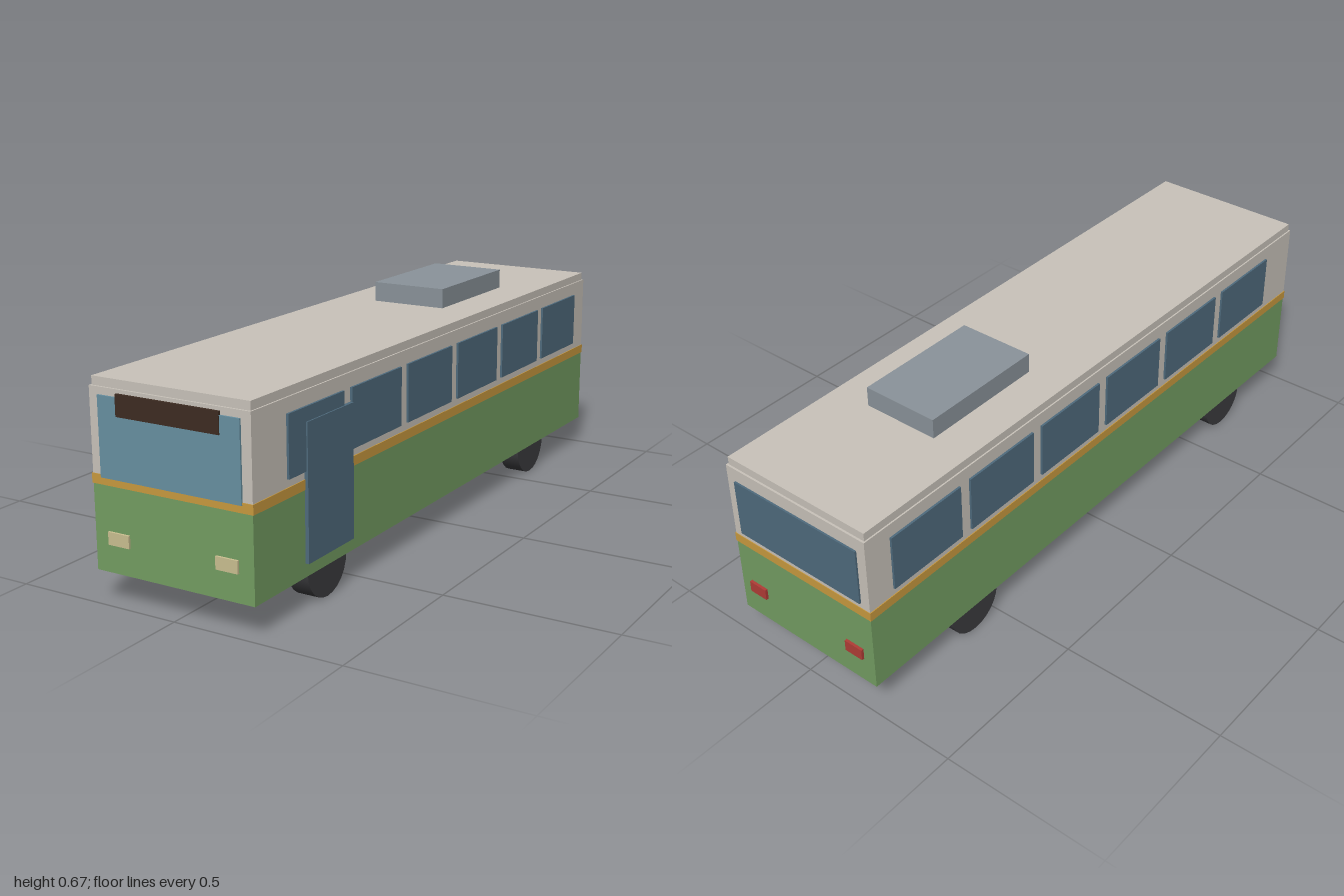
import * as THREE from 'three';

const mat = (name, color) => {
  const m = new THREE.MeshStandardMaterial({ color });
  m.name = name;
  return m;
};

export function createModel() {
  const green = mat('green paint', 0x739d62);
  const cream = mat('cream paint', 0xc9c3ba);
  const orange = mat('orange stripe', 0xc99a3f);
  const glass = mat('side glass', 0x4f6b7d);
  const screen = mat('windshield glass', 0x6890a1);
  const dark = mat('sign brown', 0x3d2c22);
  const lamp = mat('headlight cream', 0xcabf90);
  const red = mat('tail light red', 0xb03c36);
  const grey = mat('unit grey', 0x8a939a);
  const rubber = mat('tyre rubber', 0x3b3b3e);

  const bus = new THREE.Group();
  bus.name = 'bus';

  // Box given by its limits on each axis
  const box = (name, material, [x0, x1], [y0, y1], [z0, z1]) => {
    const mesh = new THREE.Mesh(new THREE.BoxGeometry(x1 - x0, y1 - y0, z1 - z0), material);
    mesh.position.set((x0 + x1) / 2, (y0 + y1) / 2, (z0 + z1) / 2);
    mesh.name = name;
    bus.add(mesh);
    return mesh;
  };
  const span = (centre, size) => [centre - size / 2, centre + size / 2];

  // Body shell, stacked from the floor up
  box('lowerBody', green, span(0, 0.495), [0.09, 0.326], span(0, 1.984));
  box('beltStripe', orange, span(0, 0.5), [0.326, 0.353], span(0, 1.988));
  box('upperBody', cream, span(0, 0.495), [0.353, 0.583], span(0, 1.984));
  box('roof', cream, span(0, 0.486), [0.583, 0.607], span(0, 1.972));
  box('roofUnit', grey, span(0, 0.237), [0.607, 0.666], span(-0.398, 0.396));

  // Six windows along each side
  for (const side of [-1, 1]) {
    for (let i = 0; i < 6; i++) {
      box('sideWindow', glass, span(side * 0.2495, 0.009), [0.375, 0.543], span(0.715 - i * 0.298, 0.26));
    }
  }

  // Passenger door on the left side
  box('door', glass, [0.2475, 0.258], [0.128, 0.504], [0.548, 0.767]);

  // Front and rear glass, destination sign
  box('windshield', screen, span(0, 0.436), [0.346, 0.563], [0.989, 0.9975]);
  box('destinationSign', dark, span(0, 0.317), [0.514, 0.573], [0.991, 1]);
  box('rearWindow', glass, span(0, 0.436), [0.37, 0.543], [-0.9975, -0.989]);

  // Lamps and wheels, mirrored across the body
  const wheelGeometry = new THREE.CylinderGeometry(0.094, 0.094, 0.063, 24).rotateZ(Math.PI / 2);
  for (const side of [-1, 1]) {
    box('headlight', lamp, span(side * 0.169, 0.067), [0.168, 0.203], [0.99, 0.9985]);
    box('tailLight', red, span(side * 0.18, 0.06), [0.17, 0.204], [-1, -0.99]);
    for (const z of [0.658, -0.596]) {
      const wheel = new THREE.Mesh(wheelGeometry, rubber);
      wheel.position.set(side * 0.212, 0.094, z);
      wheel.name = 'wheel';
      bus.add(wheel);
    }
  }

  // The door sticks out, so shift the bus to centre its full width
  bus.position.x = -0.002;
  const model = new THREE.Group();
  model.name = 'model';
  model.add(bus);
  return model;
}
